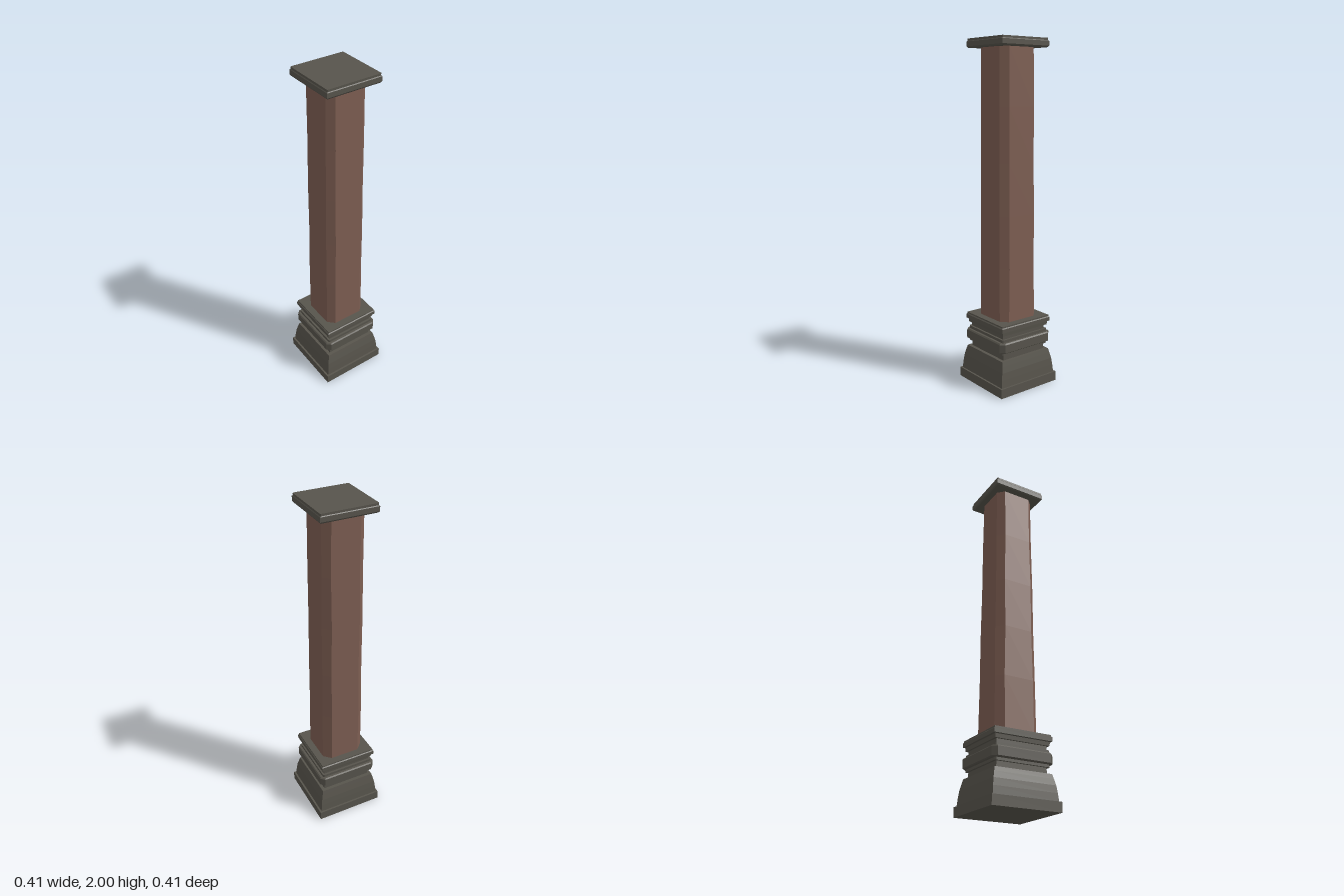
import * as THREE from 'three';

const STONE = 0x57544c;
const BRICK = 0x7d5e52;

// Corner points of a square with four clipped corners; c is one cut or four.
function ring([y, h, c = 0]) {
  const cuts = Array.isArray(c) ? c : [c, c, c, c];
  const points = [];
  cuts.forEach((cut, i) => {
    for (const [x, z] of [[h, h - cut], [h - cut, h]]) {
      const p = i % 2 ? [z, x] : [x, z];
      const sx = i === 1 || i === 2 ? -1 : 1;
      const sz = i >= 2 ? -1 : 1;
      points.push(new THREE.Vector3(p[0] * sx, y, p[1] * sz));
    }
  });
  return points;
}

// Closed solid through a stack of sections [y, half width, corner cut].
function loft(name, sections, color) {
  const rings = sections.map(ring);
  const pos = [];
  const tri = (a, b, c) => {
    const area = b.clone().sub(a).cross(c.clone().sub(a)).length();
    if (area > 1e-9) for (const p of [a, b, c]) pos.push(p.x, p.y, p.z);
  };
  for (let k = 0; k < rings.length - 1; k++) {
    const lo = rings[k], hi = rings[k + 1];
    for (let i = 0; i < 8; i++) {
      const j = (i + 1) % 8;
      tri(lo[i], hi[i], hi[j]);
      tri(lo[i], hi[j], lo[j]);
    }
  }
  const bottom = rings[0], top = rings[rings.length - 1];
  for (let i = 1; i < 7; i++) {
    tri(bottom[0], bottom[i], bottom[i + 1]);
    tri(top[0], top[i + 1], top[i]);
  }
  const geometry = new THREE.BufferGeometry();
  geometry.setAttribute('position', new THREE.Float32BufferAttribute(pos, 3));
  geometry.computeVertexNormals();
  const mesh = new THREE.Mesh(geometry, new THREE.MeshStandardMaterial({ color, flatShading: true }));
  mesh.name = name;
  return mesh;
}

export function createModel() {
  const column = new THREE.Group();
  column.name = 'column';
  column.add(
    // Square foot and flared pedestal
    loft('plinth', [[0, 0.206], [0.055, 0.206]], STONE),
    loft('pedestal', [[0.055, 0.195], [0.1, 0.191], [0.14, 0.186], [0.175, 0.178], [0.2, 0.172]], STONE),
    // Stepped neck with a clipped-corner band
    loft('lowerNeck', [[0.2, 0.152], [0.235, 0.152]], STONE),
    loft('lowerFillet', [[0.235, 0.165, 0.006], [0.25, 0.165, 0.006]], STONE),
    loft('band', [[0.25, 0.178, 0.02], [0.255, 0.184, 0.024], [0.303, 0.184, 0.024], [0.31, 0.178, 0.02]], STONE),
    loft('upperFillet', [[0.31, 0.165, 0.006], [0.326, 0.165, 0.006]], STONE),
    loft('upperNeck', [[0.326, 0.153], [0.35, 0.153]], STONE),
    loft('collar', [[0.35, 0.165], [0.372, 0.167], [0.374, 0.177], [0.397, 0.177], [0.402, 0.172], [0.41, 0.172]], STONE),
    // Tapered shaft with slightly uneven corner cuts
    loft('shaft', [
      [0.41, 0.13, [0.038, 0.038, 0.042, 0.04]],
      [0.72, 0.128, [0.042, 0.037, 0.038, 0.043]],
      [1.02, 0.126, [0.038, 0.039, 0.042, 0.038]],
      [1.32, 0.124, [0.04, 0.035, 0.037, 0.041]],
      [1.63, 0.122, [0.037, 0.037, 0.04, 0.036]],
      [1.95, 0.12, [0.038, 0.034, 0.036, 0.038]],
    ], BRICK),
    // Flat cap with softened edges
    loft('cap', [[1.95, 0.157], [1.958, 0.163], [1.984, 0.163], [1.988, 0.16, 0.004], [2, 0.16, 0.004]], STONE),
  );
  return column;
}
